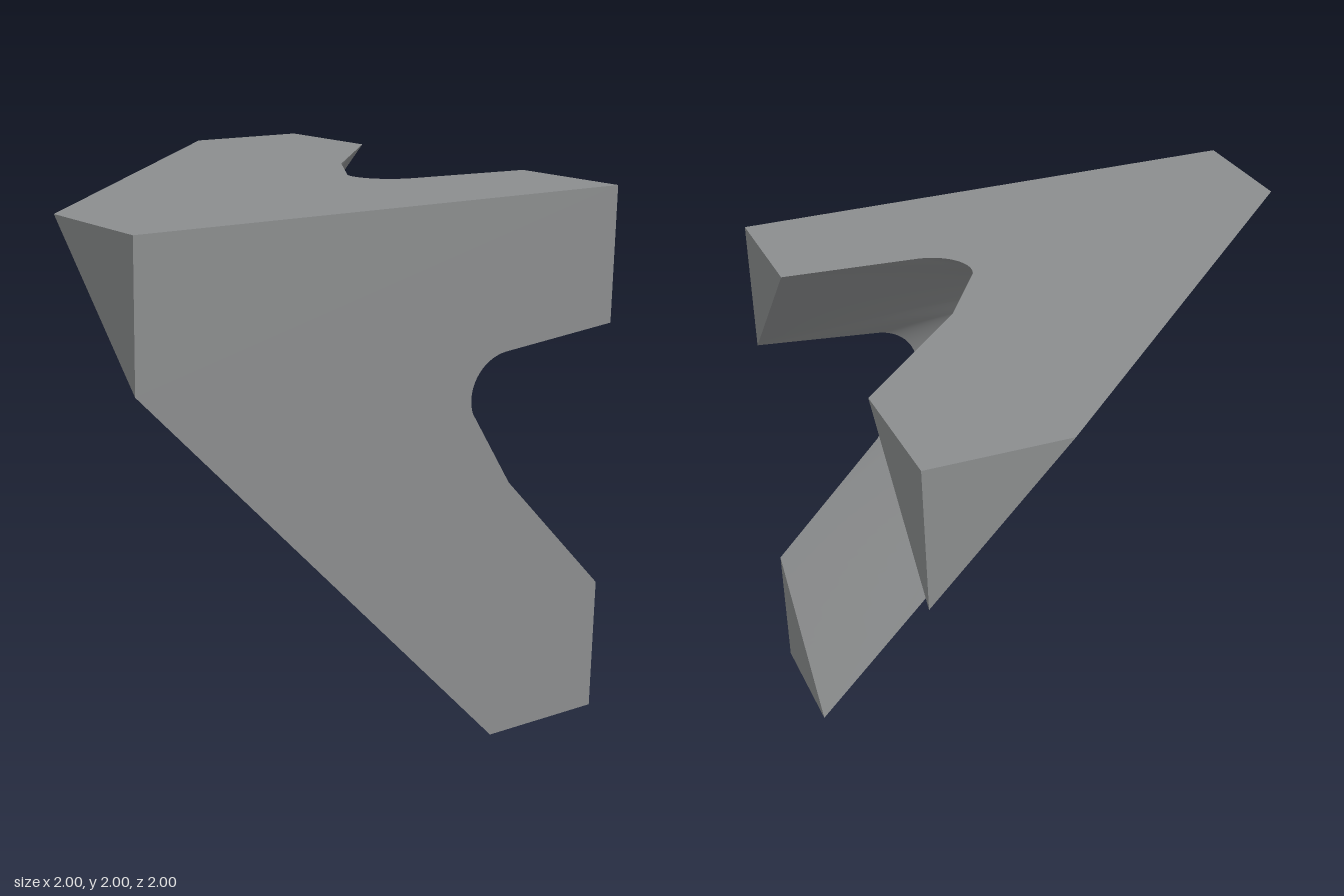
import * as THREE from 'three';

const V = (x, y, z) => new THREE.Vector3(x, y, z);

// Evenly resample a polyline so that straight runs also get points
function densify(points, step = 0.05) {
  const out = [];
  for (let i = 0; i < points.length - 1; i++) {
    const n = Math.max(1, Math.ceil(points[i].distanceTo(points[i + 1]) / step));
    for (let k = 0; k < n; k++) out.push(points[i].clone().lerp(points[i + 1], k / n));
  }
  out.push(points[points.length - 1].clone());
  return out;
}

// Flat face from a planar outline, wound to face along its outward normal
function flatFace(points, normal) {
  const n = normal.clone().normalize();
  const u = Math.abs(n.y) > 0.9 ? V(1, 0, 0) : V(0, 1, 0).cross(n).normalize();
  const v = n.clone().cross(u);
  const outline = points.map(p => new THREE.Vector2(p.dot(u), p.dot(v)));
  const ring = points.slice();
  if (THREE.ShapeUtils.isClockWise(outline)) {
    outline.reverse();
    ring.reverse();
  }
  const geo = new THREE.BufferGeometry().setFromPoints(ring);
  geo.setIndex(THREE.ShapeUtils.triangulateShape(outline, []).flat());
  geo.setAttribute('normal', new THREE.Float32BufferAttribute(ring.flatMap(() => n.toArray()), 3));
  return geo;
}

// Signed distance to the smooth blend of the three flat arm undersides
const BLEND = 0.17;
function hollowDistance({ x, y, z }) {
  const sides = [
    (2.5 - y - z) / Math.SQRT2,
    (x + y - z - 0.5) / Math.sqrt(3),
    (x - y + z + 1.5) / Math.sqrt(3),
  ];
  return -BLEND * Math.log(sides.reduce((sum, d) => sum + Math.exp(-d / BLEND), 0));
}

// How far a point must slide along the axis to reach the blended underside
const AXIS = V(1, -0.4, -0.4).normalize();
function slide(point) {
  let s = 0;
  for (let k = 0; k < 12; k++) s -= 2 * hollowDistance(point.clone().addScaledVector(AXIS, s));
  return s;
}

// Smooth hollow: rings run from the rim to the centre, lying on the blend
function hollowSurface(rim, centre, rings = 32) {
  const count = rim.length, pts = [], index = [];
  const rimSlide = rim.map(slide);
  for (let j = 0; j < rings; j++) {
    const t = j / rings;
    rim.forEach((p, i) => {
      const q = p.clone().lerp(centre, t);
      pts.push(q.addScaledVector(AXIS, slide(q) - rimSlide[i] * (1 - t) ** 3));
    });
  }
  pts.push(centre.clone().addScaledVector(AXIS, slide(centre)));
  for (let j = 0; j < rings; j++) {
    for (let i = 0; i < count; i++) {
      const i2 = (i + 1) % count, a = j * count + i, b = j * count + i2;
      if (j === rings - 1) index.push(a, b, rings * count);
      else index.push(a, b, b + count, a, b + count, a + count);
    }
  }
  const geo = new THREE.BufferGeometry().setFromPoints(pts);
  geo.setIndex(index);
  geo.computeVertexNormals();
  return geo;
}

export function createModel() {
  const group = new THREE.Group();
  group.name = 'threeArmedJoint';
  const grey = new THREE.MeshStandardMaterial({ color: 0x8b8d8e });
  grey.name = 'grey';
  const add = (name, geo) => {
    const mesh = new THREE.Mesh(geo, grey);
    mesh.name = name;
    group.add(mesh);
  };
  // Mirror that swaps the front and top sides
  const swap = p => V(p.x, p.z + 1, p.y - 1);

  // Notch between two arms, on the front and mirrored onto the top
  const bend = new THREE.CubicBezierCurve3(
    V(0.5, 1.455, 1), V(0.38, 1.44, 1), V(0.325, 1.33, 1), V(0.36, 1.25, 1));
  const frontNotch = densify([V(1, 1.5, 1), ...bend.getPoints(16), V(0.54, 0.97, 1), V(1, 0.5, 1)]);
  const topNotch = frontNotch.map(swap).reverse();

  // Notch on the slanted plane x + y + z = 1.5
  const slantNotch = new THREE.CatmullRomCurve3([
    [0.5, 0], [0.5, 0.3], [0.498, 0.6], [0.485, 1], [0.452, 1.2], [0.37, 1.37],
    [0.2, 1.452], [0, 1.485], [-0.4, 1.498], [-0.7, 1.5], [-1, 1.5],
  ].map(([z, y]) => V(1.5 - y - z, y, z))).getPoints(70);

  // Outer plates
  const frontPlate = [V(-1, 2, 1), V(1, 2, 1), ...frontNotch, V(1, 0, 1), V(0.5, 0, 1), V(-1, 1.5, 1)];
  add('frontPlate', flatFace(frontPlate, V(0, 0, 1)));
  add('topPlate', flatFace(frontPlate.map(swap), V(0, 1, 0)));
  add('slantedPlate', flatFace(
    [V(-1, 1.5, 1), V(0.5, 0, 1), ...slantNotch, V(0.5, 2, -1), V(-1, 2, 0.5)], V(-1, -1, -1)));

  // Triangular ends of the hub and arms
  add('hubEnd', flatFace([V(-1, 2, 1), V(-1, 1.5, 1), V(-1, 2, 0.5)], V(-1, 0, 0)));
  add('sideArmEnd', flatFace([V(1, 2, 1), V(1, 1.5, 1), V(1, 2, 0.5)], V(1, 0, 0)));
  const armSide = [V(1, 0, 1), V(1, 0.5, 1), V(1, 0, 0.5)];
  const armTip = [V(0.5, 0, 1), V(1, 0, 1), V(1, 0, 0.5)];
  add('lowerArmSide', flatFace(armSide, V(1, 0, 0)));
  add('lowerArmTip', flatFace(armTip, V(0, -1, 0)));
  add('rearArmSide', flatFace(armSide.map(swap), V(1, 0, 0)));
  add('rearArmTip', flatFace(armTip.map(swap), V(0, 0, -1)));

  // Hollow inner surface joining the three notches
  const rim = densify([...frontNotch, ...slantNotch, ...topNotch, frontNotch[0]])
    .filter((p, i, all) => i === 0 || p.distanceTo(all[i - 1]) > 1e-6).slice(0, -1);
  add('innerHollow', hollowSurface(rim, V(-0.15, 1.65, 0.65)));
  return group;
}
